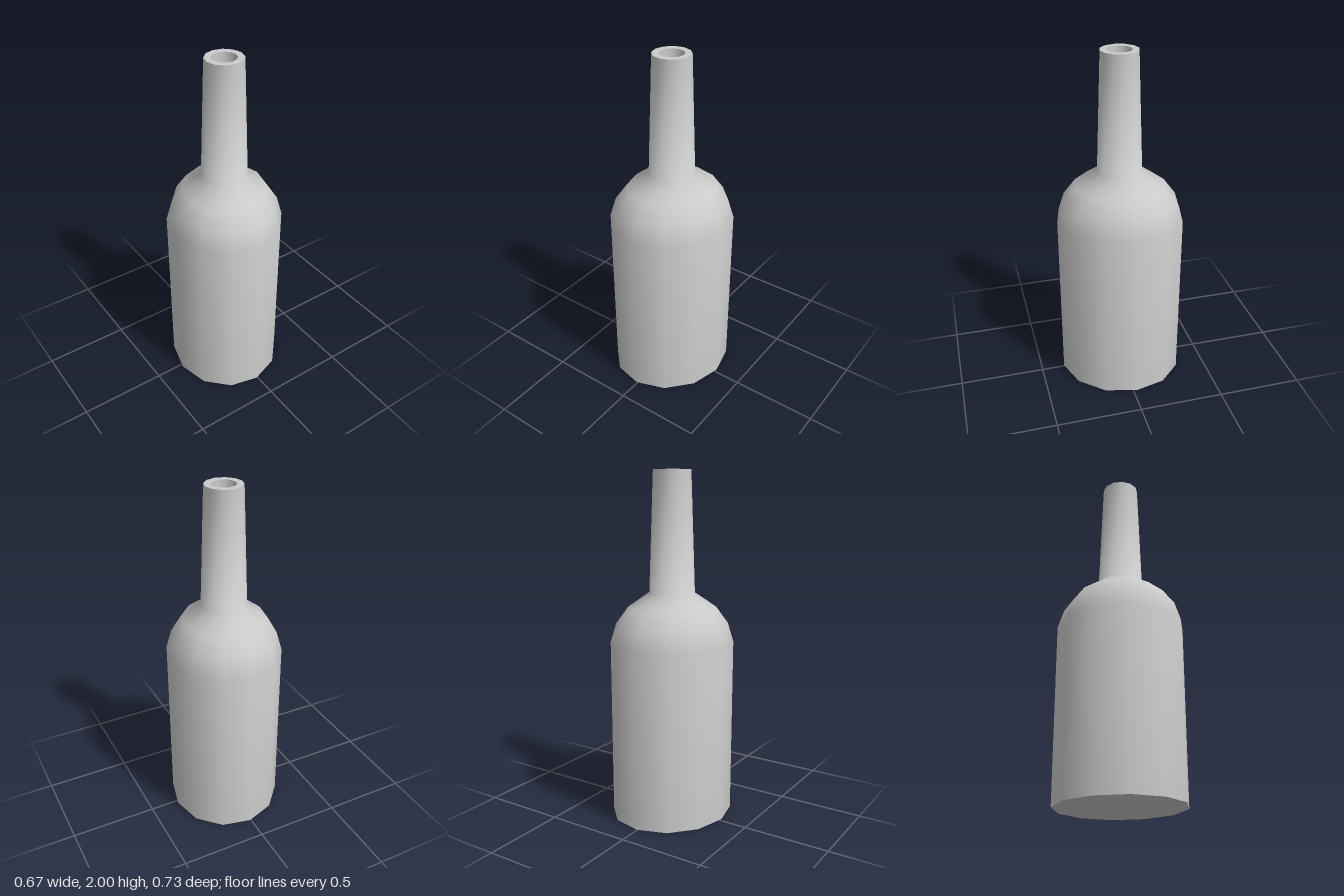
import * as THREE from 'three';
import { toCreasedNormals } from 'three/addons/utils/BufferGeometryUtils.js';

const SIDES = 12;

// Slightly skewed oval ring for the body, s scales it about the axis
const oval = (y, s) => (c, n) => [s * (0.336 * n + 0.005 * c), y, s * (-0.364 * c - 0.02 * n)];
// Round ring for the neck and mouth
const round = (y, r) => (c, n) => [r * n, y, -r * c];

// Skins a list of rings, ordered from the base up and over the rim
function loft(rings) {
  const pos = [];
  const point = (ring, i) => {
    const a = ((i % SIDES) / SIDES) * Math.PI * 2;
    return ring(Math.cos(a), Math.sin(a));
  };
  for (let j = 0; j < rings.length - 1; j++) {
    const [low, high] = [rings[j], rings[j + 1]];
    for (let i = 0; i < SIDES; i++) {
      const a = point(low, i), b = point(low, i + 1);
      const c = point(high, i), d = point(high, i + 1);
      // the first and last rings may shrink to a point
      if (Math.hypot(a[0] - b[0], a[2] - b[2]) > 1e-6) pos.push(...a, ...c, ...b);
      if (Math.hypot(c[0] - d[0], c[2] - d[2]) > 1e-6) pos.push(...b, ...c, ...d);
    }
  }
  const geo = new THREE.BufferGeometry();
  geo.setAttribute('position', new THREE.Float32BufferAttribute(pos, 3));
  return toCreasedNormals(geo, Math.PI / 3);
}

export function createModel() {
  const group = new THREE.Group();
  group.name = 'bottle';
  const rings = [
    // flat base and straight body
    oval(0, 0), oval(0, 0.995), oval(1.03, 1),
    // rounded shoulder
    oval(1.14, 0.905), oval(1.235, 0.712),
    // tapering neck
    round(1.32, 0.13), round(2, 0.106),
    // rim and bore
    round(2, 0.069), round(1.5, 0.069), round(1.5, 0),
  ];
  const mesh = new THREE.Mesh(loft(rings), new THREE.MeshStandardMaterial({ color: 0xcccccc }));
  mesh.name = 'bottleGlass';
  group.add(mesh);
  return group;
}
